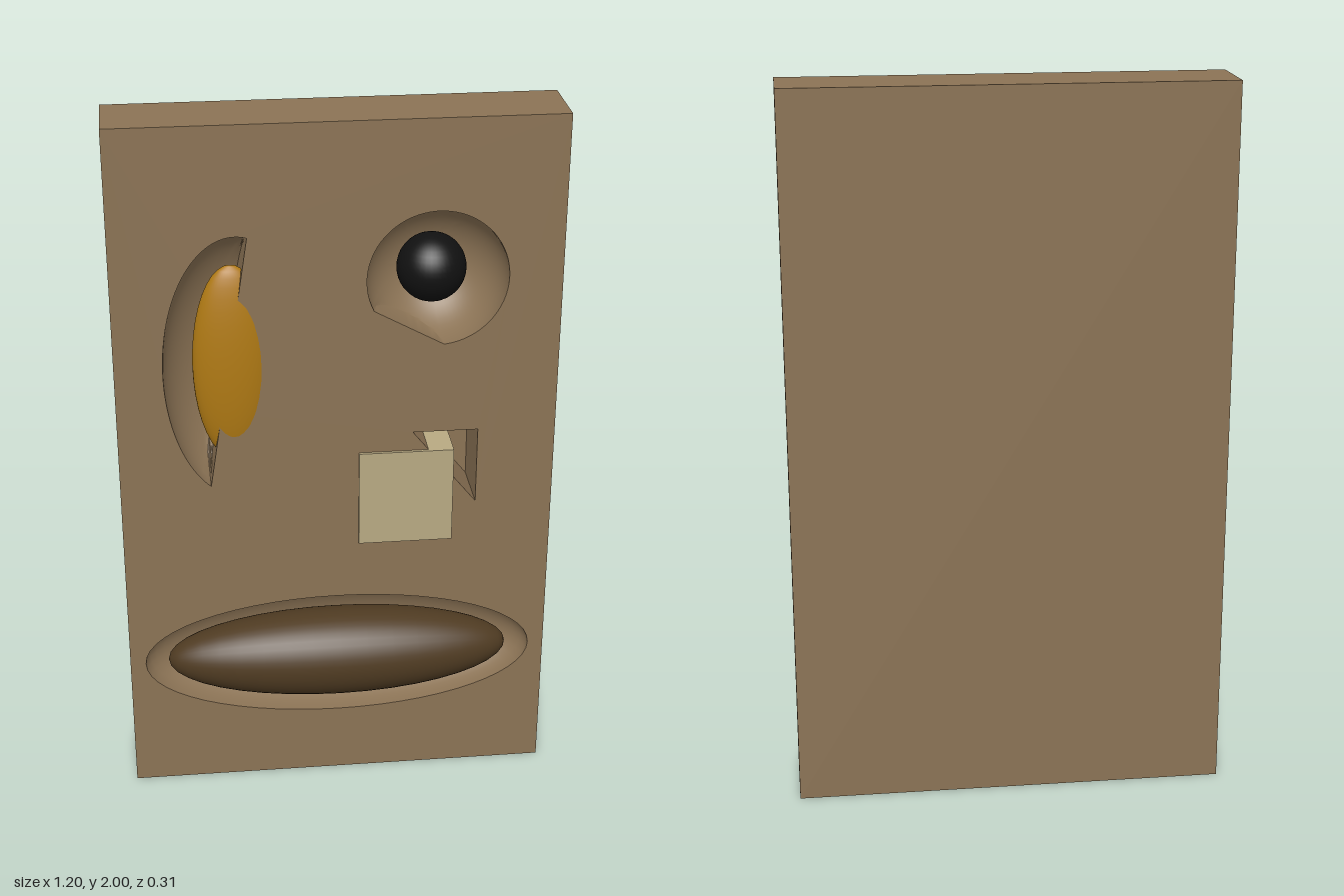
import * as THREE from 'three';
import { toCreasedNormals } from 'three/addons/utils/BufferGeometryUtils.js';

const W = 1.2, H = 2, FRONT = 0.045, BACK = -0.155;
const RINGS = 14;

const paint = (color) => new THREE.MeshStandardMaterial({ color });

function addMesh(group, name, geometry, material, x = 0, y = 0, z = 0) {
  const mesh = new THREE.Mesh(geometry, material);
  mesh.name = name;
  mesh.position.set(x, y, z);
  group.add(mesh);
  return mesh;
}

// Counter-clockwise outline of an ellipse, or of an arc of it closed by a straight chord
function ellipseOutline(cx, cy, rx, ry, fromDeg = 0, toDeg = 360) {
  const full = toDeg - fromDeg >= 360;
  const n = 56, pts = [];
  for (let i = 0; i < (full ? n : n + 1); i++) {
    const a = THREE.MathUtils.degToRad(fromDeg + ((toDeg - fromDeg) * i) / n);
    pts.push(new THREE.Vector2(cx + rx * Math.cos(a), cy + ry * Math.sin(a)));
  }
  if (!full) {
    const start = pts[0], end = pts[n];
    for (let i = 1; i < 16; i++) pts.push(end.clone().lerp(start, i / 16));
  }
  return pts;
}

// Depth rule of a bowl: half an ellipsoid sunk below the face
const bowlDepth = (cx, cy, rx, ry, depth) => (x, y) => {
  const q = ((x - cx) / rx) ** 2 + ((y - cy) / ry) ** 2;
  return depth * Math.sqrt(Math.max(0, 1 - q));
};

// Walls and floor of a hollow: the outline shrinks ring by ring and follows the depth rule
function hollowGeometry(outline, depthAt) {
  const mid = new THREE.Vector2();
  outline.forEach((p) => mid.addScaledVector(p, 1 / outline.length));
  const rings = [outline.map((p) => new THREE.Vector3(p.x, p.y, FRONT))];
  for (let k = 0; k <= RINGS; k++) {
    const t = k === RINGS ? 0 : Math.cos((k / RINGS) * Math.PI / 2);
    rings.push(outline.map((p) => {
      const q = mid.clone().lerp(p, t);
      return new THREE.Vector3(q.x, q.y, FRONT - depthAt(q.x, q.y));
    }));
  }
  const pos = [], tri = new THREE.Triangle();
  const push = (a, b, c) => {
    if (tri.set(a, b, c).getArea() < 1e-9) return;
    pos.push(...a.toArray(), ...b.toArray(), ...c.toArray());
  };
  for (let k = 0; k + 1 < rings.length; k++) {
    for (let i = 0; i < outline.length; i++) {
      const j = (i + 1) % outline.length;
      push(rings[k][i], rings[k][j], rings[k + 1][j]);
      push(rings[k][i], rings[k + 1][j], rings[k + 1][i]);
    }
  }
  const geo = new THREE.BufferGeometry();
  geo.setAttribute('position', new THREE.Float32BufferAttribute(pos, 3));
  return toCreasedNormals(geo, 0.7);
}

export function createModel() {
  const model = new THREE.Group();
  model.name = 'faceBoard';
  const wood = paint(0x8b7355);

  // Hollows carved in the front
  const mouth = [0, 0.403, 0.556, 0.195];
  const roundEye = [0.265, 1.56, 0.19, 0.19];
  const longEye = [-0.27, 1.32, 0.2, 0.38];
  const hollows = [
    { name: 'mouthHollow', outline: ellipseOutline(...mouth), depth: bowlDepth(...mouth, 0.18) },
    { name: 'leftEyeHollow', outline: ellipseOutline(...roundEye, -84, 206.6), depth: bowlDepth(...roundEye, 0.19) },
    { name: 'rightEyeHollow', outline: ellipseOutline(...longEye, 81, 246), depth: bowlDepth(...longEye, 0.17) },
    {
      name: 'noseHollow',
      outline: [[0.205, 1.11], [0.385, 0.885], [0.385, 1.11]].map((p) => new THREE.Vector2(...p)),
      depth: () => 0.17,
    },
  ];

  // Board: sides and back from a box without its front face
  const box = new THREE.BoxGeometry(W, H, FRONT - BACK);
  const index = Array.from(box.index.array);
  index.splice(24, 6);
  box.setIndex(index);
  box.clearGroups();
  addMesh(model, 'boardSidesAndBack', box, wood, 0, H / 2, (FRONT + BACK) / 2);

  // Board front, pierced where the hollows open
  const face = new THREE.Shape([[-W / 2, 0], [W / 2, 0], [W / 2, H], [-W / 2, H]].map((p) => new THREE.Vector2(...p)));
  for (const h of hollows) {
    face.holes.push(new THREE.Path(h.outline));
    addMesh(model, h.name, hollowGeometry(h.outline, h.depth), wood);
  }
  addMesh(model, 'boardFront', new THREE.ShapeGeometry(face), wood, 0, 0, FRONT);

  // Mouth filling, eyes and nose set into the hollows
  const ball = new THREE.SphereGeometry(1, 40, 20);
  addMesh(model, 'mouth', ball.clone().rotateZ(Math.PI / 2), paint(0x4f3b22), 0, 0.403, 0.025).scale.set(0.49, 0.128, 0.128);
  addMesh(model, 'leftEye', ball, paint(0x111111), 0.26, 1.558, -0.05).scale.setScalar(0.094);
  addMesh(model, 'rightEye', ball, paint(0xb07a14), -0.283, 1.325, 0.01).scale.set(0.107, 0.285, 0.05);
  addMesh(model, 'nose', new THREE.BoxGeometry(0.263, 0.283, 0.18), paint(0xb8a982), 0.188, 0.913, -0.036);

  return model;
}
